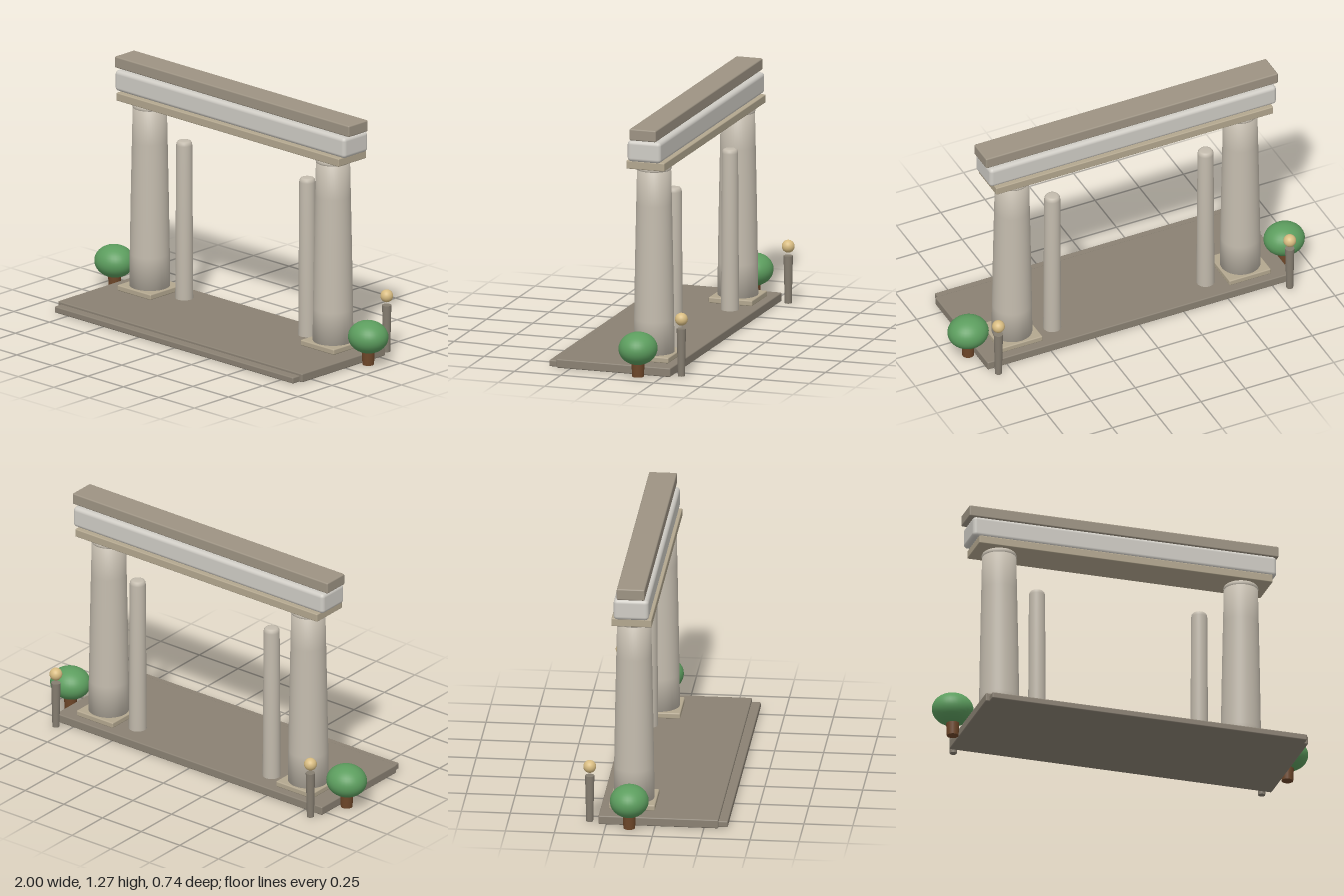
import * as THREE from 'three';
import { RoundedBoxGeometry } from 'three/addons/geometries/RoundedBoxGeometry.js';

const AXIS_Z = -0.128; // line of the columns and beams
const mat = (color) => new THREE.MeshStandardMaterial({ color });
const colors = {
  floor: mat(0x8a8173), shaft: mat(0xc4bcae), trim: mat(0xb3a78f),
  frieze: mat(0xcfccc5), cornice: mat(0x9d9383), post: mat(0x857d70),
  globe: mat(0xd9bd82), leaf: mat(0x5c9d5e), trunk: mat(0x6e4729),
};

export function createModel() {
  const model = new THREE.Group();
  model.name = 'colonnadeGate';

  const add = (name, geometry, material, x, y, z) => {
    const mesh = new THREE.Mesh(geometry, material);
    mesh.name = name;
    mesh.position.set(x, y, z);
    model.add(mesh);
    return mesh;
  };
  // softened block given by its size, bottom height and centre
  const block = (name, w, h, d, x, bottom, z, radius, material) =>
    add(name, new RoundedBoxGeometry(w, h, d, 3, radius), material, x, bottom + h / 2, z);
  const turned = (name, profile, material, x, y, z) =>
    add(name, new THREE.LatheGeometry(profile.map(([r, h]) => new THREE.Vector2(r, h)), 40), material, x, y, z);

  // Floor slab and front step
  block('floorSlab', 1.72, 0.046, 0.613, 0, 0.003, 0.017, 0.006, colors.floor);
  block('frontStep', 1.68, 0.033, 0.1, 0, 0.003, 0.32, 0.006, colors.floor);

  // Three stacked beams
  block('architrave', 1.566, 0.043, 0.206, 0, 1.056, AXIS_Z, 0.005, colors.trim);
  block('frieze', 1.62, 0.11, 0.18, 0, 1.1, AXIS_Z, 0.02, colors.frieze);
  block('cornice', 1.65, 0.06, 0.143, 0, 1.216, AXIS_Z, 0.007, colors.cornice);

  for (const side of [1, -1]) {
    const label = side > 0 ? 'left' : 'right';

    // Main column: plinth, tapered shaft, cushion capital
    block(label + 'Plinth', 0.235, 0.03, 0.235, side * 0.645, 0.048, AXIS_Z, 0.006, colors.trim);
    turned(label + 'Column', [
      [0, 0.07], [0.104, 0.07], [0.102, 0.25], [0.097, 0.55], [0.091, 0.85], [0.087, 1.032], [0, 1.032],
    ], colors.shaft, side * 0.645, 0, AXIS_Z);
    turned(label + 'Capital', [
      [0.078, 1.024], [0.086, 1.029], [0.09, 1.04], [0.086, 1.051], [0.078, 1.058],
    ], colors.shaft, side * 0.645, 0, AXIS_Z);

    // Slim free-standing pillar with rounded top
    turned(label + 'Pillar', [
      [0, 0.04], [0.046, 0.04], [0.041, 0.868], [0.039, 0.88], [0.033, 0.888], [0.024, 0.891], [0, 0.891],
    ], colors.shaft, side * 0.433, 0, -0.16);

    // Lamp post with globe
    add(label + 'LampPost', new THREE.CylinderGeometry(0.024, 0.018, 0.248, 20),
      colors.post, side * 0.823, 0.13, -0.337);
    add(label + 'LampGlobe', new THREE.SphereGeometry(0.033, 24, 16),
      colors.globe, side * 0.823, 0.303, -0.337);

    // Round shrub on a short trunk
    add(label + 'ShrubTrunk', new THREE.CylinderGeometry(0.035, 0.03, 0.1, 20),
      colors.trunk, side * 0.893, 0.053, AXIS_Z);
    add(label + 'ShrubCrown', new THREE.SphereGeometry(1, 32, 20),
      colors.leaf, side * 0.893, 0.15, AXIS_Z).scale.set(0.107, 0.084, 0.099);
  }
  return model;
}
